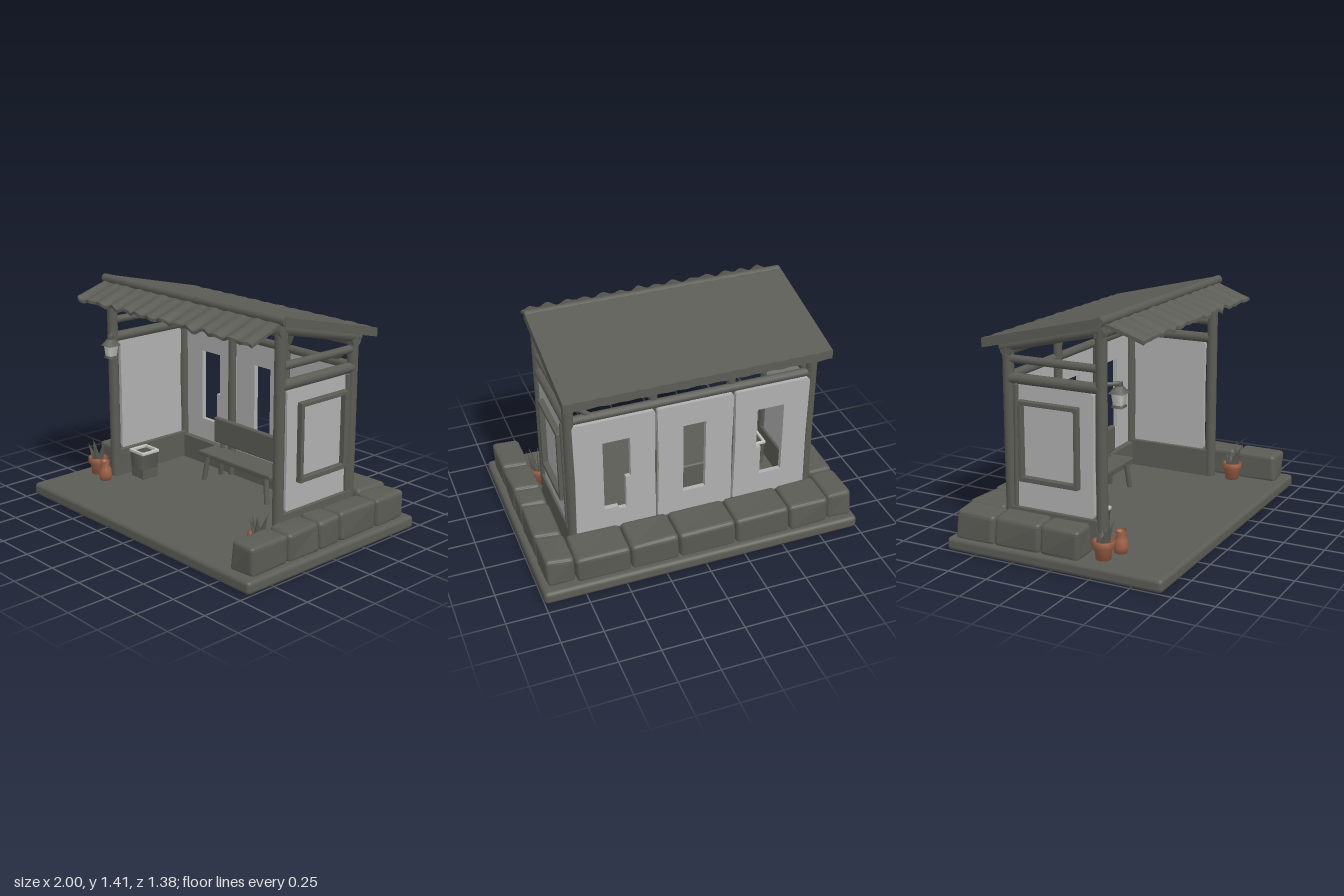
import * as THREE from 'three';
import { RoundedBoxGeometry } from 'three/addons/geometries/RoundedBoxGeometry.js';

const mat = (name, color) => {
  const m = new THREE.MeshStandardMaterial({ color, side: THREE.DoubleSide });
  m.name = name;
  return m;
};

export function createModel() {
  const root = new THREE.Group();
  root.name = 'shelter';
  const dark = mat('weathered grey', 0x5b5c55);
  const plaster = mat('plaster grey', 0xb0b0b0);
  const clay = mat('terracotta', 0x9c5f45);
  const pale = mat('pale trim', 0xc4c4c0);

  const add = (name, geo, m, x = 0, y = 0, z = 0, parent = root) => {
    const mesh = new THREE.Mesh(geo, m);
    mesh.name = name;
    mesh.position.set(x, y, z);
    parent.add(mesh);
    return mesh;
  };
  // box given by its lower and upper limits, with softened edges
  const block = (name, m, x0, x1, y0, y1, z0, z1, r = 0.008, parent = root) =>
    add(name, new RoundedBoxGeometry(x1 - x0, y1 - y0, z1 - z0, 2, r), m,
      (x0 + x1) / 2, (y0 + y1) / 2, (z0 + z1) / 2, parent);
  // gentle unevenness for hand-worked pieces
  const wobble = (mesh, a) => {
    const p = mesh.geometry.attributes.position, c = mesh.position;
    for (let i = 0; i < p.count; i++) {
      const x = p.getX(i), y = p.getY(i), z = p.getZ(i);
      const s = 17 * (x + c.x), t = 19 * (z + c.z), u = 23 * y;
      p.setXYZ(i, x + a * Math.sin(t + u), y + a * Math.sin(s + t * 1.3), z + a * Math.sin(s * 1.2 + u));
    }
    mesh.geometry.computeVertexNormals();
    return mesh;
  };
  // round timber between two points
  const timber = (name, a, b, r, parent = root) => {
    const A = new THREE.Vector3(...a), B = new THREE.Vector3(...b);
    const mesh = add(name, new THREE.CylinderGeometry(r, r, A.distanceTo(B), 12), dark, 0, 0, 0, parent);
    mesh.position.copy(A).add(B).multiplyScalar(0.5);
    mesh.quaternion.setFromUnitVectors(new THREE.Vector3(0, 1, 0), B.sub(A).normalize());
    return mesh;
  };

  // base slab
  block('baseSlab', dark, -1, 1, 0, 0.08, -0.69, 0.69, 0.025);

  // low stone border: left, right and back rows
  const row = (name, cuts, make) => {
    for (let i = 0; i + 1 < cuts.length; i++) wobble(make(name, cuts[i] + 0.003, cuts[i + 1] - 0.003), 0.005);
  };
  row('leftStone', [-0.64, -0.38, -0.08, 0.17], (n, a, b) => block(n, dark, -0.975, -0.81, 0.07, 0.25, a, b, 0.025));
  row('rightStone', [-0.63, -0.38, -0.07, 0.1, 0.35, 0.635], (n, a, b) => block(n, dark, 0.795, 0.965, 0.07, 0.25, a, b, 0.025));
  row('backStone', [-0.81, -0.55, -0.2, 0.16, 0.46, 0.795], (n, a, b) => block(n, dark, a, b, 0.07, 0.25, -0.655, -0.41, 0.025));

  // main posts
  for (const x of [-0.76, 0.73]) {
    timber('frontPost', [x, 0.07, 0.205], [x, 1.36, 0.205], 0.033);
    timber('backPost', [x, 0.07, -0.39], [x, 1.22, -0.39], 0.033);
  }
  for (const x of [-0.26, 0.22]) {
    timber('middlePost', [x, 0.07, -0.365], [x, 1.2, -0.365], 0.026);
    timber('roofBrace', [x, 1.03, -0.37], [x + 0.06, 1.17, -0.37], 0.018);
  }
  timber('roofBrace', [0.6, 1.03, -0.38], [0.72, 1.13, -0.38], 0.016);

  // long rails and sills
  timber('backRail', [-0.76, 1.02, -0.385], [0.73, 1.02, -0.385], 0.026);
  timber('backPlate', [-0.79, 1.17, -0.39], [0.76, 1.17, -0.39], 0.034);
  timber('frontPlate', [-0.79, 1.32, 0.205], [0.76, 1.32, 0.205], 0.034);
  block('backSill', dark, -0.76, 0.73, 0.07, 0.24, -0.41, -0.36);

  // plaster panel with rounded outline and optional opening
  const panel = (name, x0, x1, y0, y1, hole) => {
    const r = 0.025, s = new THREE.Shape();
    s.moveTo(x0 + r, y0);
    s.lineTo(x1 - r, y0); s.quadraticCurveTo(x1, y0, x1, y0 + r);
    s.lineTo(x1 - 0.006, (y0 + y1) / 2);
    s.lineTo(x1, y1 - r); s.quadraticCurveTo(x1, y1, x1 - r, y1);
    s.lineTo(x0 + r, y1); s.quadraticCurveTo(x0, y1, x0, y1 - r);
    s.lineTo(x0 + 0.005, (y0 + y1) / 2);
    s.lineTo(x0, y0 + r); s.quadraticCurveTo(x0, y0, x0 + r, y0);
    if (hole) s.holes.push(new THREE.Path(hole.map(p => new THREE.Vector2(...p))));
    return add(name, new THREE.ExtrudeGeometry(s, { depth: 0.03, bevelEnabled: false }), plaster);
  };

  // back wall: three panels with tall openings
  const backPanels = [
    [-0.74, -0.268, [[-0.58, 0.38], [-0.44, 0.38], [-0.44, 0.58], [-0.41, 0.58], [-0.41, 0.85], [-0.58, 0.85]]],
    [-0.256, 0.214, [[-0.085, 0.38], [0.055, 0.38], [0.055, 0.85], [-0.085, 0.85]]],
    [0.226, 0.72, [[0.41, 0.36], [0.46, 0.36], [0.46, 0.38], [0.545, 0.38], [0.545, 0.85], [0.38, 0.85], [0.38, 0.58], [0.41, 0.58]]],
  ];
  for (const [a, b, hole] of backPanels) panel('backPanel', a, b, 0.23, 1.0, hole).position.z = -0.425;

  // side walls: sill, panel, rails, rafter and framed board on the outside
  for (const [x, out] of [[-0.76, -1], [0.73, 1]]) {
    const side = new THREE.Group();
    side.name = out < 0 ? 'leftWall' : 'rightWall';
    root.add(side);
    block('sideSill', dark, x - 0.03, x + 0.03, 0.07, 0.26, -0.39, 0.2, 0.008, side);
    const p = panel('sidePanel', -0.16, 0.35, 0.255, 0.985);
    p.rotation.y = Math.PI / 2;
    p.position.x = x - 0.015;
    side.add(p);
    timber('lowerRail', [x, 1.01, -0.39], [x, 1.01, 0.205], 0.032, side);
    timber('upperRail', [x, 1.12, -0.39], [x, 1.12, 0.205], 0.024, side);
    timber('rafter', [x, 1.185, -0.43], [x, 1.335, 0.2], 0.034, side);
    const fx = x + out * 0.03;
    const bar = (y0, y1, z0, z1) => block('boardFrame', dark, fx - 0.02, fx + 0.02, y0, y1, z0, z1, 0.005, side);
    bar(0.42, 0.45, -0.31, 0.075);
    bar(0.87, 0.895, -0.31, 0.075);
    bar(0.42, 0.89, 0.05, 0.075);
    bar(0.42, 0.89, -0.31, -0.285);
    timber('sideBatten', [x + out * 0.02, 0.26, -0.345], [x + out * 0.02, 0.98, -0.33], 0.014, side);
  }

  // ribbed sheet running from (z0,y0) down to (z1,y1); wave grows toward the far end
  const sheet = (name, x0, x1, z0, y0, z1, y1, thick, n, wave, ragged) => {
    const g = new THREE.BoxGeometry(x1 - x0, thick, 1, n, 1, 6), p = g.attributes.position;
    for (let i = 0; i < p.count; i++) {
      const t = p.getZ(i) + 0.5, x = p.getX(i);
      const h = wave * (Math.sin(x * 55) + 0.5 * Math.sin(x * 31 + 1)) * (0.3 + 0.7 * t);
      const k = t * (1 + ragged * Math.sin(x * 47 + 2 * Math.sin(x * 9)));
      p.setXYZ(i, x + (x0 + x1) / 2, y0 + (y1 - y0) * k + p.getY(i) + h, z0 + (z1 - z0) * k);
    }
    if (z1 < z0) { // keep faces outward when the run is reversed
      const ix = g.index.array;
      for (let i = 0; i < ix.length; i += 3) [ix[i], ix[i + 1]] = [ix[i + 1], ix[i]];
    }
    g.computeVertexNormals();
    return add(name, g, dark);
  };
  sheet('mainRoof', -0.815, 0.79, 0.225, 1.383, -0.53, 1.203, 0.054, 160, 0.002, 0);
  sheet('frontAwning', -0.78, 0.755, 0.2, 1.375, 0.45, 1.288, 0.018, 160, 0.009, 0.035);
  timber('ridgeRoll', [-0.81, 1.385, 0.215], [0.785, 1.385, 0.215], 0.028);

  // bench
  const bench = new THREE.Group();
  bench.name = 'bench';
  root.add(bench);
  block('benchSeat', dark, -0.35, 0.31, 0.245, 0.272, -0.31, -0.15, 0.008, bench);
  block('benchBack', dark, -0.345, 0.305, 0.3, 0.47, -0.315, -0.28, 0.012, bench);
  block('benchStretcher', dark, -0.27, 0.24, 0.2, 0.225, -0.24, -0.22, 0.005, bench);
  for (const x of [-0.28, 0.25]) {
    const o = Math.sign(x) * 0.025;
    timber('benchLeg', [x + o, 0.07, -0.16], [x, 0.25, -0.175], 0.017, bench);
    timber('benchLeg', [x + o, 0.07, -0.31], [x, 0.25, -0.285], 0.017, bench);
    timber('backSupport', [x, 0.24, -0.3], [x, 0.42, -0.31], 0.015, bench);
  }

  // bin: tapered square body, dark inside, pale rim
  const bin = new THREE.Group();
  bin.name = 'bin';
  bin.position.set(-0.62, 0, 0.08);
  root.add(bin);
  const body = add('binBody', new THREE.CylinderGeometry(0.092, 0.08, 0.17, 4, 1, true), dark, 0, 0.16, 0, bin);
  body.rotation.y = Math.PI / 4;
  block('binLiner', dark, -0.06, 0.06, 0.08, 0.19, -0.06, 0.06, 0.005, bin);
  for (const s of [-1, 1]) {
    block('binRim', pale, -0.07, 0.07, 0.245, 0.265, s * 0.062 - 0.008, s * 0.062 + 0.008, 0.004, bin);
    block('binRim', pale, s * 0.062 - 0.008, s * 0.062 + 0.008, 0.245, 0.265, -0.07, 0.07, 0.004, bin);
  }

  // terracotta pots with pointed leaves
  const pot = (x, z, pts, leaves, top) => {
    const g = new THREE.Group();
    g.name = 'pottedPlant';
    g.position.set(x, 0.075, z);
    root.add(g);
    add('pot', new THREE.LatheGeometry(pts.map(q => new THREE.Vector2(...q)), 16), clay, 0, 0, 0, g);
    for (let i = 0; i < leaves; i++) {
      const a = i * 2.4, h = top * (0.7 + 0.3 * Math.cos(i * 1.9));
      const geo = new THREE.ConeGeometry(0.026, h, 4);
      geo.scale(1, 1, 0.45);
      geo.translate(0, h / 2, 0);
      const leaf = add('leaf', geo, dark, 0.02 * Math.cos(a), 0.1, 0.02 * Math.sin(a), g);
      leaf.rotation.set(0.35 * Math.sin(a), a, -0.35 * Math.cos(a), 'XZY');
    }
  };
  const flower = [[0, 0], [0.042, 0], [0.052, 0.08], [0.063, 0.08], [0.063, 0.115], [0.05, 0.115], [0.046, 0.095], [0, 0.095]];
  pot(-0.87, 0.27, flower, 7, 0.16);
  pot(0.735, 0.36, flower, 7, 0.16);
  pot(-0.74, 0.31, [[0, 0], [0.036, 0], [0.044, 0.04], [0.038, 0.08], [0.024, 0.105], [0.033, 0.135], [0.024, 0.13], [0, 0.1]], 0, 0);

  // lantern hung from the left front post
  const lamp = new THREE.Group();
  lamp.name = 'lantern';
  lamp.position.set(-0.69, 0, 0.275);
  root.add(lamp);
  const four = (name, r1, r2, h, y, m) => {
    add(name, new THREE.CylinderGeometry(r1, r2, h, 4), m, 0, y, 0, lamp).rotation.y = Math.PI / 4;
  };
  four('lanternBase', 0.042, 0.046, 0.015, 0.907, dark);
  four('lanternGlass', 0.046, 0.036, 0.07, 0.948, pale);
  four('lanternRoof', 0.025, 0.064, 0.04, 1.0, dark);
  four('lanternCap', 0.022, 0.022, 0.025, 1.03, dark);
  timber('lanternBracket', [-0.07, 1.035, -0.07], [0, 1.035, 0.01], 0.012, lamp);

  return root;
}
